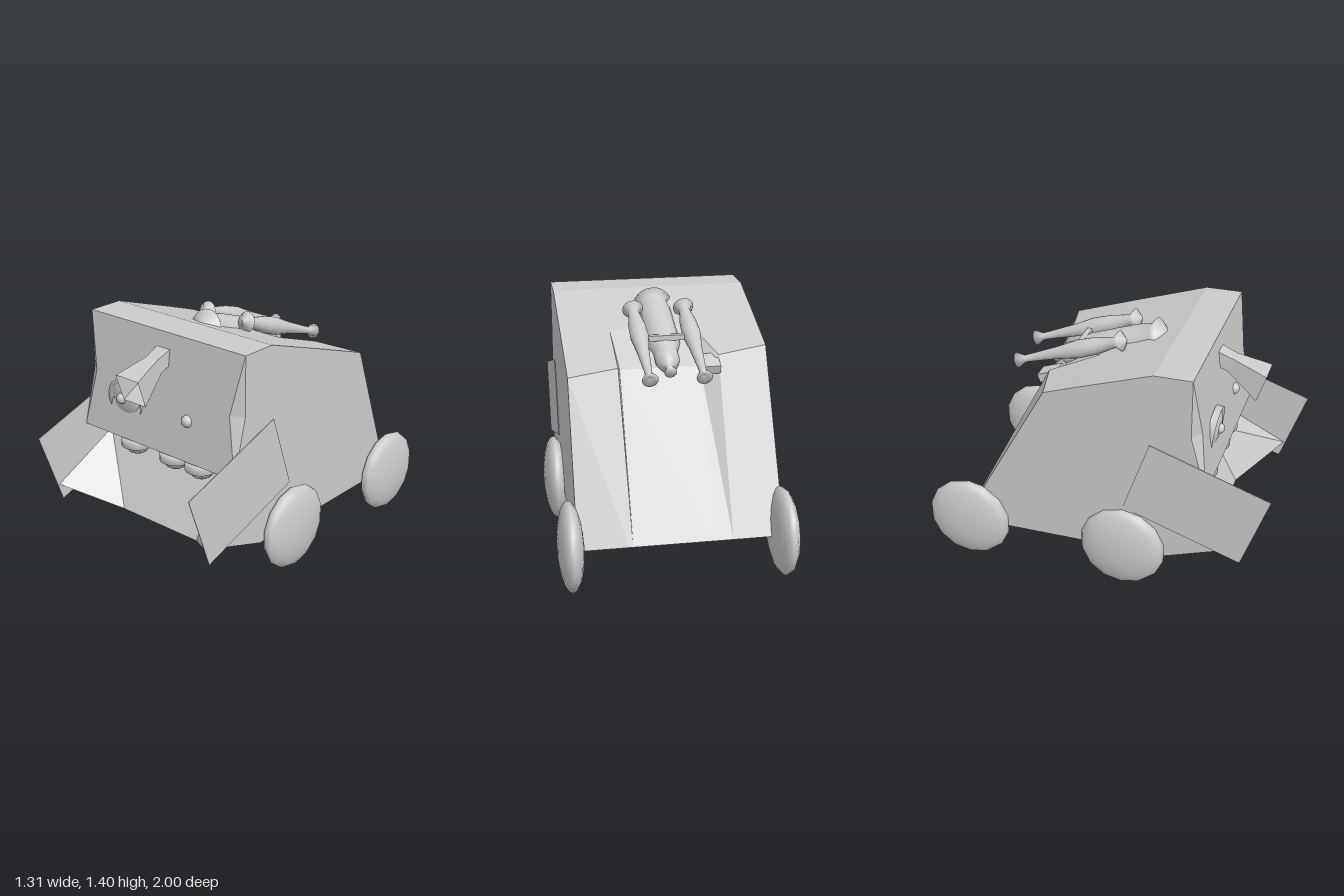
import * as THREE from 'three';

const smooth = new THREE.MeshStandardMaterial({ color: 0xcccccc, side: THREE.DoubleSide });
const flat = new THREE.MeshStandardMaterial({ color: 0xcccccc, side: THREE.DoubleSide, flatShading: true });

function add(parent, name, geometry, material, x = 0, y = 0, z = 0) {
  const mesh = new THREE.Mesh(geometry, material);
  mesh.name = name;
  mesh.position.set(x, y, z);
  parent.add(mesh);
  return mesh;
}

const lathe = (points, sides = 16) =>
  new THREE.LatheGeometry(points.map(([r, y]) => new THREE.Vector2(r, y)), sides);

// Joins cross-sections (arrays of Vector3 with equal counts) by strips of triangles
function loft(sections, closeEnds) {
  const out = [];
  const tri = (a, b, c) => {
    const area = b.clone().sub(a).cross(c.clone().sub(a)).length();
    if (area > 1e-6) for (const p of [a, b, c]) out.push(p.x, p.y, p.z);
  };
  const n = sections[0].length;
  for (let i = 0; i + 1 < sections.length; i++) {
    for (let j = 0; j < n; j++) {
      const k = (j + 1) % n;
      const [a, b, c, d] = [sections[i][j], sections[i][k], sections[i + 1][k], sections[i + 1][j]];
      tri(a, b, c);
      tri(a, c, d);
    }
  }
  if (closeEnds) {
    for (const [section, sign] of [[sections[0], -1], [sections[sections.length - 1], 1]]) {
      const outline = section.map(p => new THREE.Vector2(-p.z, p.y));
      for (const [a, b, c] of THREE.ShapeUtils.triangulateShape(outline, [])) {
        const up = THREE.ShapeUtils.area([outline[a], outline[b], outline[c]]) * sign > 0;
        tri(section[a], section[up ? b : c], section[up ? c : b]);
      }
    }
  }
  const geometry = new THREE.BufferGeometry();
  geometry.setAttribute('position', new THREE.Float32BufferAttribute(out, 3));
  geometry.computeVertexNormals();
  return geometry;
}

// One body cross-section, from the brow down the face, under the floor and back over the roof
function bodySection(x, { notch, chin, floor, back }) {
  const profile = [
    [0.56, 1.37], notch, [0.65, 0.70], [0.45, 0.605], chin, [floor, 0.235],
    [-0.785, 0.235], back, [-0.06, 1.235], [0.35, 1.37],
  ];
  return profile.map(([z, y]) => new THREE.Vector3(x, y, z));
}

function body() {
  const outer = back => ({ notch: [0.56, 1.035], chin: [0.88, 0.39], floor: 0.43, back });
  const inner = back => ({ notch: [0.605, 1.035], chin: [0.645, 0.235], floor: 0.645, back });
  const right = bodySection(-0.585, outer([-0.26, 1.167]));
  const left = bodySection(0.55, outer([-0.46, 1.10]));
  // pinched cheeks: same outline with the notch point moved in
  const pinch = (section, x) =>
    section.map((p, j) => (j === 1 ? new THREE.Vector3(x, 1.035, 0.605) : p.clone()));
  return loft([
    right,
    pinch(right, -0.52),
    bodySection(-0.30, inner([-0.33, 1.145])),
    bodySection(-0.20, inner([-0.31, 1.08])),
    bodySection(0.25, inner([-0.31, 1.08])),
    bodySection(0.27, inner([-0.40, 1.12])),
    pinch(left, 0.48),
    left,
  ], true);
}

// Flared square snout, open at the front
function snout() {
  const cx = -0.018;
  const frames = [
    // z top, y top, z bottom, y bottom, half width
    [0.55, 1.29, 0.56, 1.20, 0.05],
    [0.66, 1.245, 0.63, 1.165, 0.042],
    [0.85, 1.185, 0.80, 1.03, 0.082],
  ];
  return loft(frames.map(([zt, yt, zb, yb, w]) => [
    new THREE.Vector3(cx - w, yt, zt), new THREE.Vector3(cx + w, yt, zt),
    new THREE.Vector3(cx + w, yb, zb), new THREE.Vector3(cx - w, yb, zb),
  ]), false);
}

export function createModel() {
  const model = new THREE.Group();
  model.name = 'wheeledCreature';

  add(model, 'body', body(), flat);
  add(model, 'snout', snout(), flat);

  // Small raised wedge at the edge of the roof hollow
  const wedge = add(model, 'roofWedge', new THREE.BoxGeometry(0.1, 0.05, 0.12), flat, -0.25, 1.1, -0.34);
  wedge.rotation.x = -0.34;

  // Wheels: flattened balls
  for (const x of [-0.585, 0.585]) {
    for (const z of [0.183, -0.75]) {
      const geometry = new THREE.SphereGeometry(1, 14, 10);
      geometry.rotateZ(Math.PI / 2).scale(0.072, 0.248, 0.248);
      add(model, z > 0 ? 'frontWheel' : 'rearWheel', geometry, smooth, x, 0.25, z);
    }
  }

  // Tilted cheek plates, flush with the sides
  for (const x of [-0.589, 0.555]) {
    const plate = add(model, 'cheekPlate', new THREE.BoxGeometry(0.004, 0.455, 0.708), flat, x, 0.62, 0.595);
    plate.rotation.x = 0.331;
  }

  // Large eye with socket and pupil, and a small eye
  const eye = new THREE.Group();
  eye.name = 'largeEye';
  eye.position.set(-0.27, 0.925, 0.615);
  eye.rotation.x = Math.PI / 2 + 0.12;
  model.add(eye);
  add(eye, 'eyeSocket', lathe([[0.127, -0.02], [0.127, 0.02], [0.1, 0.002]], 24), smooth);
  const ball = add(eye, 'eyeball', new THREE.SphereGeometry(0.105, 24, 12), smooth);
  ball.scale.y = 0.3;
  add(eye, 'pupil', new THREE.SphereGeometry(0.032, 14, 10), smooth, 0.0, 0.025, -0.015)
    .position.x = -0.013;
  add(model, 'smallEye', new THREE.SphereGeometry(0.035, 14, 10), smooth, 0.19, 0.925, 0.615);

  // Upper teeth
  for (const x of [-0.265, 0.037, 0.229]) {
    const profile = [[0, 0.575], [0.025, 0.578], [0.055, 0.595], [0.062, 0.612], [0.093, 0.63], [0.093, 0.69], [0, 0.69]];
    add(model, 'tooth', lathe(profile), smooth, x, 0, 0.55);
  }

  // Rocket and boosters lying along the roof slope
  const tilt = 1.235;
  const rocketProfile = [
    [0, -0.67], [0.035, -0.67], [0.018, -0.625], [0.05, -0.61], [0.068, -0.57], [0.068, -0.49],
    [0.095, -0.42], [0.095, -0.12], [0.085, -0.04], [0.11, 0], [0, 0.06],
  ];
  const boosterProfile = [
    [0, -0.64], [0.045, -0.66], [0.02, -0.61], [0.025, -0.53], [0.036, -0.39], [0.052, -0.27],
    [0.048, -0.16], [0.03, -0.04], [0.06, 0], [0, 0.035],
  ];
  add(model, 'rocket', lathe(rocketProfile, 20), smooth, -0.02, 1.3, 0.235).rotation.x = tilt;
  for (const x of [-0.172, 0.122]) {
    add(model, 'booster', lathe(boosterProfile), smooth, x, 1.32, 0.05).rotation.x = tilt;
  }
  add(model, 'boosterStrut', new THREE.BoxGeometry(0.29, 0.03, 0.03), flat, -0.025, 1.225, -0.22);

  return model;
}
